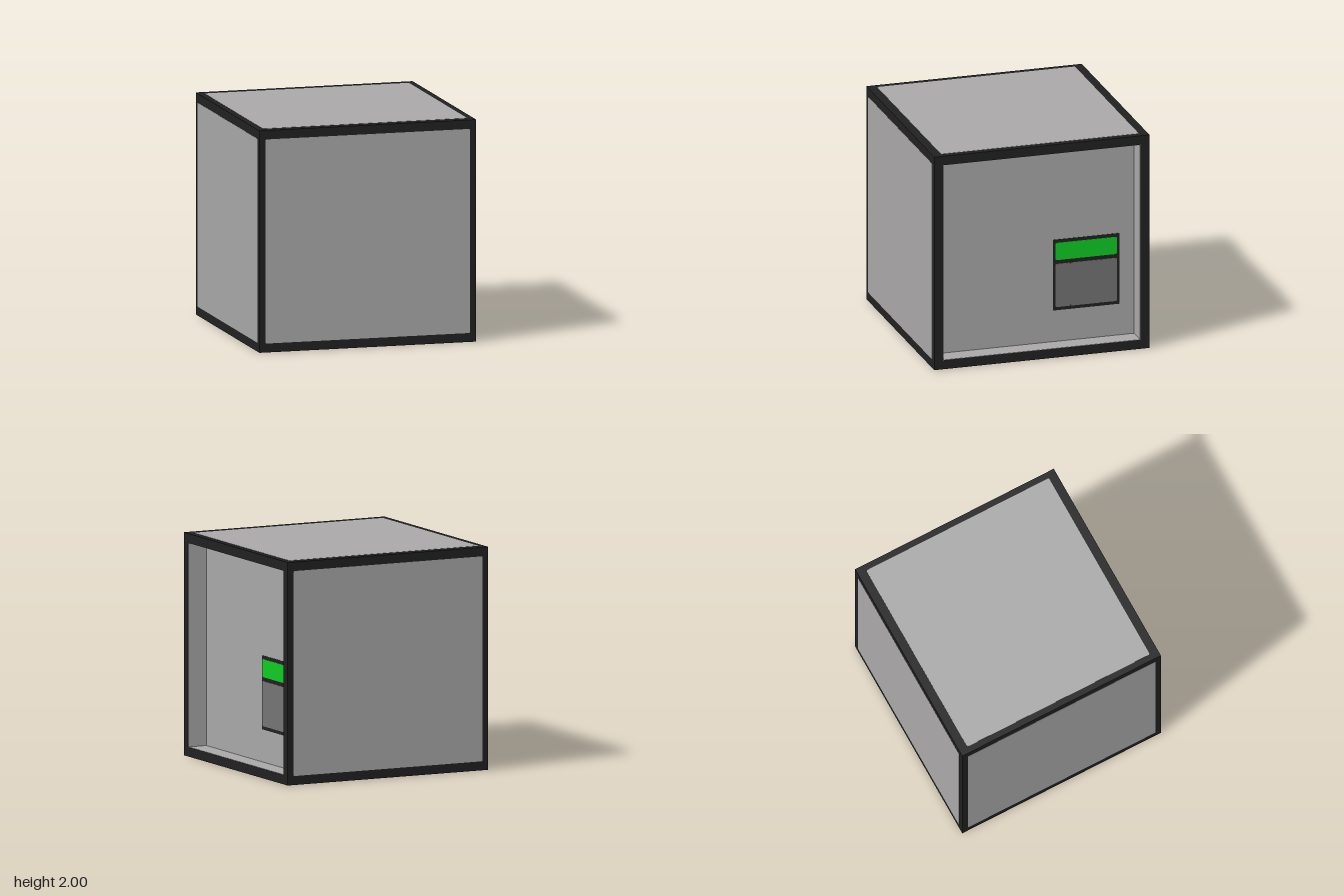
import * as THREE from 'three';

const grey = new THREE.MeshStandardMaterial({ name: 'panelGrey', color: 0xaaa8a8 });
const black = new THREE.MeshStandardMaterial({ name: 'frameBlack', color: 0x212121 });
const green = new THREE.MeshStandardMaterial({ name: 'screenGreen', color: 0x10cb22 });
const darkGrey = new THREE.MeshStandardMaterial({ name: 'keyGrey', color: 0x747474 });

const OUT = 0.998;    // half size of the frame; panels stand 0.002 proud
const OPEN = 0.915;   // half size of the opening
const BACK = 0.82;    // x of the recess back wall

// Rounded rectangle plate whose front face lies on z = 0, facing +z
function plate(w, h, r, t) {
  const x = w / 2, y = h / 2;
  const s = new THREE.Shape();
  s.moveTo(-x + r, -y);
  s.lineTo(x - r, -y); s.quadraticCurveTo(x, -y, x, -y + r);
  s.lineTo(x, y - r); s.quadraticCurveTo(x, y, x - r, y);
  s.lineTo(-x + r, y); s.quadraticCurveTo(-x, y, -x, y - r);
  s.lineTo(-x, -y + r); s.quadraticCurveTo(-x, -y, -x + r, -y);
  return new THREE.ExtrudeGeometry(s, { depth: t, bevelEnabled: false, curveSegments: 3 }).translate(0, 0, -t);
}

export function createModel() {
  const model = new THREE.Group();
  const add = (name, geometry, material) => {
    const mesh = new THREE.Mesh(geometry, material);
    mesh.name = name;
    model.add(mesh);
    return mesh;
  };

  // Solid black core behind the recess
  const coreEnd = BACK - 0.004;
  add('core', new THREE.BoxGeometry(coreEnd + OUT, 2 * OUT, 2 * OUT)
    .translate((coreEnd - OUT) / 2, 1, 0), black);

  // Black rim around the opening on the +x side
  const ring = new THREE.Shape([[-OUT, -OUT], [OUT, -OUT], [OUT, OUT], [-OUT, OUT]].map(p => new THREE.Vector2(...p)));
  ring.holes.push(new THREE.Path([[-OPEN, -OPEN], [-OPEN, OPEN], [OPEN, OPEN], [OPEN, -OPEN]].map(p => new THREE.Vector2(...p))));
  add('openingRim', new THREE.ExtrudeGeometry(ring, { depth: 1 - coreEnd, bevelEnabled: false })
    .rotateY(Math.PI / 2).translate(coreEnd, 1, 0), black);

  // Grey panels on the five closed sides
  const q = Math.PI / 2;
  [
    ['frontPanel', 0, 0], ['backPanel', 0, Math.PI], ['leftOuterPanel', 0, -q],
    ['topPanel', -q, 0], ['bottomPanel', q, 0],
  ].forEach(([name, rx, ry]) => {
    const g = plate(1.885, 1.835, 0.015, 0.005).translate(0, 0, 1);
    add(name, g.rotateX(rx).rotateY(ry).translate(0, 1, 0), grey);
  });

  // Grey lining of the recess: back wall and four side walls
  add('recessBack', new THREE.BoxGeometry(0.004, 2 * OPEN, 2 * OPEN).translate(BACK - 0.002, 1, 0), grey);
  for (let i = 0; i < 4; i++) {
    const depth = 0.998 - BACK;
    add('recessWall', new THREE.BoxGeometry(depth, 0.004, 2 * OPEN)
      .translate(BACK + depth / 2, -OPEN + 0.001, 0).rotateX(i * q).translate(0, 1, 0), grey);
  }

  // Control panel on the recess back wall, given by z and y ranges
  const control = (name, z0, z1, y0, y1, r, lift, material) =>
    add(name, plate(z1 - z0, y1 - y0, r, 0.004).rotateY(q)
      .translate(BACK + lift, (y0 + y1) / 2, (z0 + z1) / 2), material);
  control('controlFrame', -0.775, -0.16, 0.38, 1.042, 0.006, 0.003, black);
  control('screen', -0.75, -0.18, 0.85, 1.012, 0.015, 0.006, green);
  [[-0.75, -0.608], [-0.608, -0.322], [-0.322, -0.182]].forEach(([z0, z1]) =>
    control('keyPlate', z0, z1, 0.41, 0.815, 0.012, 0.006, darkGrey));

  return model;
}
